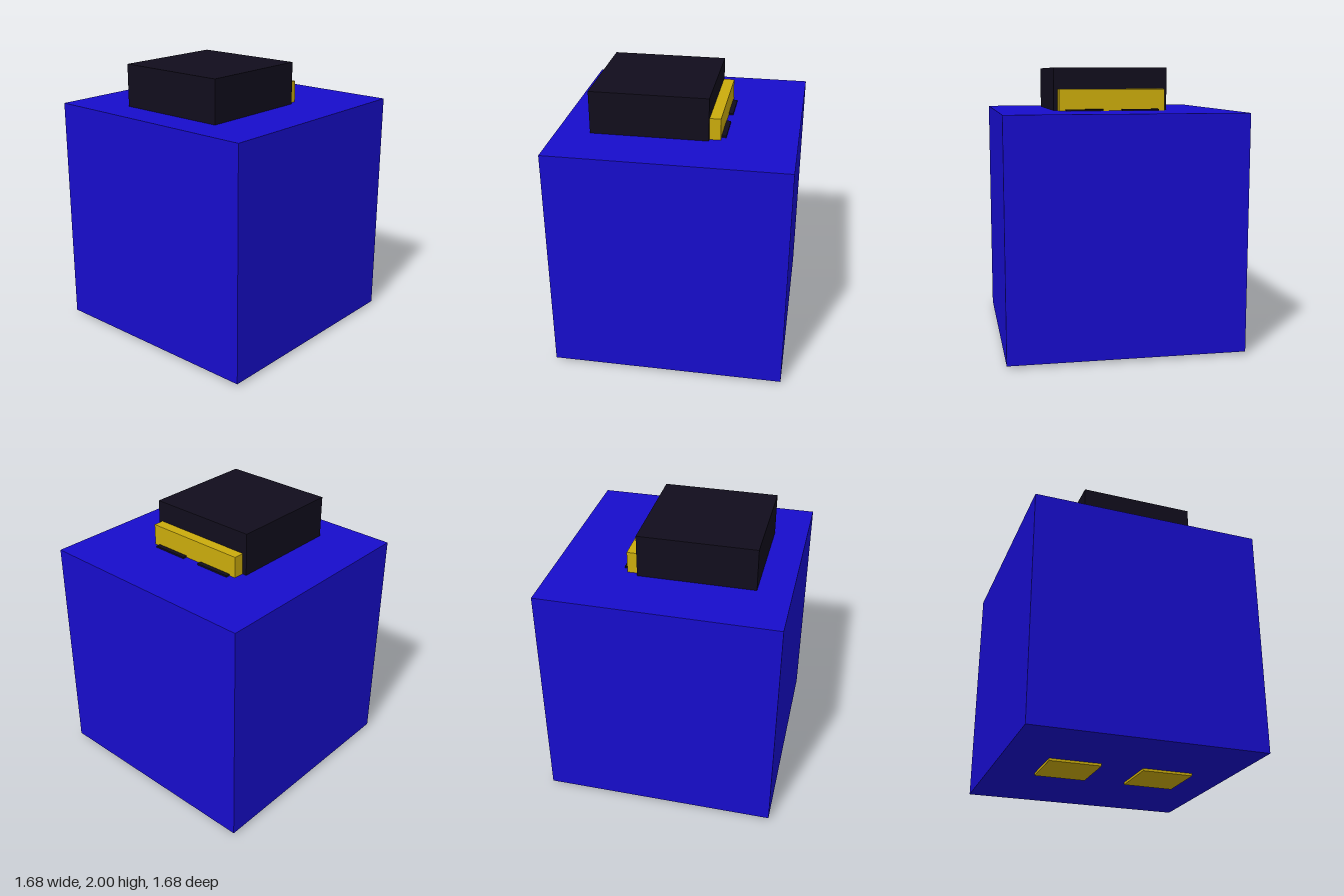
import * as THREE from 'three';

export function createModel() {
  const model = new THREE.Group();
  const blue = new THREE.MeshStandardMaterial({ color: 0x170ccb });
  const black = new THREE.MeshStandardMaterial({ color: 0x110d1c });
  const yellow = new THREE.MeshStandardMaterial({ color: 0xcaab0c });

  // Box spanning the given ranges on each axis
  function block(name, material, [x0, x1], [y0, y1], [z0, z1]) {
    const mesh = new THREE.Mesh(new THREE.BoxGeometry(x1 - x0, y1 - y0, z1 - z0), material);
    mesh.position.set((x0 + x1) / 2, (y0 + y1) / 2, (z0 + z1) / 2);
    mesh.name = name;
    model.add(mesh);
  }

  // Large cube body
  block('body', blue, [-0.838, 0.838], [0.017, 1.693], [-0.838, 0.838]);

  // Head sunk into the top, with a yellow plate on its +x side
  block('head', black, [-0.598, 0.235], [1.6, 2], [-0.403, 0.43]);
  block('facePlate', yellow, [0.235, 0.313], [1.6, 1.848], [-0.37, 0.401]);

  // Paired thin tabs on the plate and feet under the body
  for (const [side, tabZ, footZ] of [['left', -0.186, -0.328], ['right', 0.22, 0.356]]) {
    block(side + 'Tab', black, [0.313, 0.346], [1.6, 1.705], [tabZ - 0.135, tabZ + 0.135]);
    block(side + 'Foot', yellow, [-0.245, 0.13], [0, 0.1], [footZ - 0.188, footZ + 0.188]);
  }

  return model;
}
